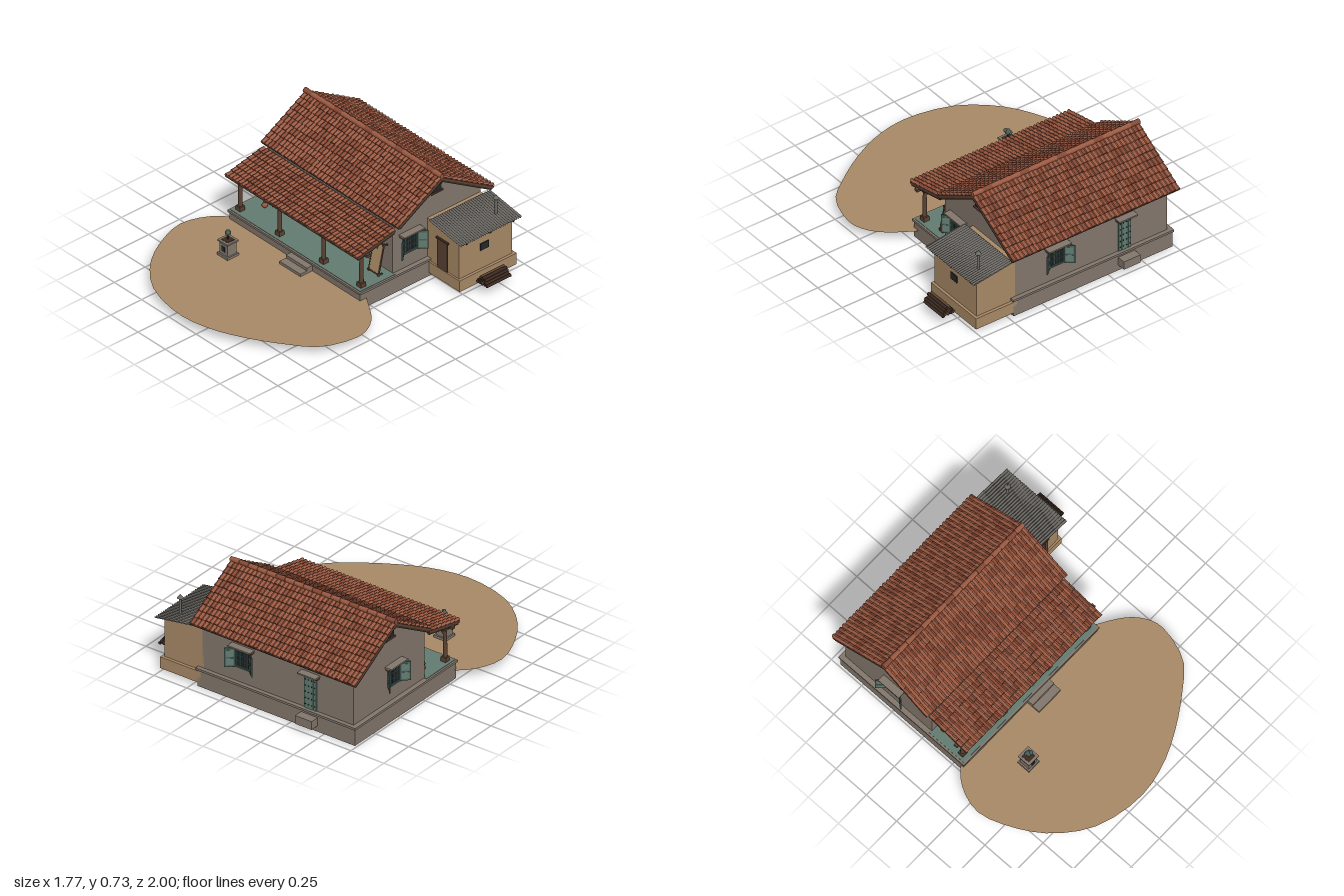
import * as THREE from 'three';

const mat = (name, color, extra = {}) => Object.assign(new THREE.MeshStandardMaterial({ color, ...extra }), { name });
const M = {
  tile: mat('clay tile', 0x9c5a42),
  tileDark: mat('dark clay tile', 0x874a36),
  plaster: mat('grey plaster', 0x83776c),
  ochre: mat('ochre mud', 0xa98a66, { side: THREE.DoubleSide }),
  wood: mat('brown wood', 0x5c4234),
  darkWood: mat('dark wood', 0x3c2a20),
  teal: mat('pale teal', 0x627c71),
  shutter: mat('deep teal', 0x48605a),
  iron: mat('iron', 0x25282a),
  metal: mat('zinc sheet', 0x6c6964, { side: THREE.DoubleSide }),
};

function add(parent, name, geo, material, x = 0, y = 0, z = 0) {
  const m = new THREE.Mesh(geo, material);
  m.name = name;
  m.position.set(x, y, z);
  parent.add(m);
  return m;
}
// Box given by its min and max on each axis
function box(parent, name, material, x0, x1, y0, y1, z0, z1) {
  return add(parent, name, new THREE.BoxGeometry(x1 - x0, y1 - y0, z1 - z0), material, (x0 + x1) / 2, (y0 + y1) / 2, (z0 + z1) / 2);
}
function group(parent, name, x = 0, y = 0, z = 0, ry = 0) {
  const g = new THREE.Group();
  g.name = name;
  g.position.set(x, y, z);
  g.rotation.y = ry;
  parent.add(g);
  return g;
}
const cyl = (r0, r1, h, n = 10) => new THREE.CylinderGeometry(r0, r1, h, n);
const poly = pts => new THREE.Shape(pts.map(p => new THREE.Vector2(...p)));
let seed = 7;
const rand = () => (seed = (seed * 16807) % 2147483647) / 2147483647;

// Overlapping barrel tiles; local z runs down the slope, y is off the surface
function tileGeometries(width, length, cols, rows) {
  const out = [[], []], w = width / cols, l = length / rows, n = 4, amp = 0.011, lift = 0.008;
  for (let r = 0; r < rows; r++) for (let c = 0; c < cols; c++) {
    const v = out[rand() < 0.68 ? 0 : 1], end = (r + 1) * l + (rand() - 0.5) * 0.006;
    for (let j = 0; j < n; j++) {
      const xa = -width / 2 + (c + j / n) * w, xb = xa + w / n;
      const ha = amp * Math.sin(Math.PI * j / n), hb = amp * Math.sin(Math.PI * (j + 1) / n);
      const A = [xa, ha, r * l], B = [xa, ha + lift, end], C = [xb, hb + lift, end], D = [xb, hb, r * l];
      const E = [xa, 0, end], F = [xb, 0, end];
      v.push(...A, ...B, ...C, ...A, ...C, ...D, ...B, ...E, ...F, ...B, ...F, ...C);
    }
  }
  return out.map(v => {
    const g = new THREE.BufferGeometry();
    g.setAttribute('position', new THREE.Float32BufferAttribute(v, 3));
    g.computeVertexNormals();
    return g;
  });
}
function tiledSlope(parent, name, x0, x1, zTop, yTop, zBot, yBot, rows) {
  const width = x1 - x0, dz = Math.abs(zBot - zTop), length = Math.hypot(dz, yTop - yBot);
  const g = group(parent, name, (x0 + x1) / 2, yTop, zTop, zBot > zTop ? 0 : Math.PI);
  g.rotation.order = 'YXZ';
  g.rotation.x = Math.atan2(yTop - yBot, dz);
  const [a, b] = tileGeometries(width, length, 42, rows);
  add(g, 'tiles', a, M.tile);
  add(g, 'darkTiles', b, M.tileDark);
  box(g, 'roofBoard', M.wood, -width / 2, width / 2, -0.014, 0.001, 0, length);
  for (let i = 0; i < 15; i++) {
    const x = -width / 2 + 0.01 + i * (width - 0.02) / 14;
    box(g, 'rafter', M.darkWood, x - 0.008, x + 0.008, -0.026, -0.014, 0.01, length - 0.008);
  }
}

// Barred window with open shutters, facing local +z, centred on its sill line
function windowUnit(parent, x, y, z, ry, awning) {
  const g = group(parent, 'window', x, y, z, ry), w = 0.052, h = 0.12;
  box(g, 'opening', M.iron, -w, w, 0, h, -0.002, 0.004);
  for (const s of [-1, 1]) {
    box(g, 'jamb', M.shutter, s * w - 0.005, s * w + 0.005, -0.005, h + 0.005, -0.002, 0.012);
    const hinge = group(g, 'shutter', s * (w + 0.004), 0, 0.008, -s * 0.75);
    box(hinge, 'shutterLeaf', M.shutter, s * 0.034 - 0.034, s * 0.034 + 0.034, -0.005, h + 0.008, -0.004, 0.004);
    for (const q of [0, 1]) box(hinge, 'shutterPanel', M.teal, s * 0.034 - 0.024, s * 0.034 + 0.024, 0.008 + q * 0.058, 0.055 + q * 0.058, -0.006, 0.006);
  }
  for (const q of [-0.005, h - 0.005]) box(g, 'rail', M.shutter, -w, w, q, q + 0.01, -0.002, 0.012);
  for (let i = -2; i <= 2; i++) box(g, 'bar', M.shutter, i * 0.018 - 0.0015, i * 0.018 + 0.0015, 0, h, 0.004, 0.008);
  for (const q of [0.04, 0.08]) box(g, 'crossBar', M.shutter, -w, w, q - 0.001, q + 0.001, 0.004, 0.008);
  if (awning) canopy(g, 0.08, h + 0.008);
}
function canopy(g, w, y) {
  box(g, 'lintel', M.wood, -w, w, y, y + 0.014, -0.005, 0.03);
  box(g, 'canopySlab', M.plaster, -w - 0.005, w + 0.005, y + 0.014, y + 0.024, -0.005, 0.05);
}
// Double plank door with studs, facing local +z
function door(parent, name, x, y, z, ry, w, h, material, studs) {
  const g = group(parent, name, x, y, z, ry);
  box(g, 'doorBacking', M.darkWood, -w / 2, w / 2, 0, h, -0.005, 0.003);
  const n = 4, p = w / n;
  for (let i = 0; i < n; i++) {
    const px = -w / 2 + i * p;
    box(g, 'doorPlank', material, px + 0.001, px + p - 0.001, 0, h, 0.002, 0.009);
    if (studs) for (let k = 0; k < 5; k++) box(g, 'stud', M.iron, px + p / 2 - 0.003, px + p / 2 + 0.003, h * (0.12 + k * 0.19) - 0.003, h * (0.12 + k * 0.19) + 0.003, 0.008, 0.013);
  }
  return g;
}

function house(root) {
  const g = group(root, 'house');
  box(g, 'plinth', M.plaster, -0.735, 0.465, 0, 0.115, -0.94, 0.08);
  box(g, 'plinthCap', M.plaster, -0.743, 0.473, 0.113, 0.128, -0.948, 0.088);
  box(g, 'verandahFloor', M.teal, -0.73, 0.46, 0.126, 0.131, -0.21, 0.075);
  const gable = poly([[-0.92, 0.12], [-0.205, 0.12], [-0.205, 0.468], [-0.56, 0.684], [-0.92, 0.464]]);
  add(g, 'walls', new THREE.ExtrudeGeometry(gable, { depth: 1.15, bevelEnabled: false }), M.plaster, 0.44).rotation.y = -Math.PI / 2;
  for (const [x, s] of [[0.44, 1], [-0.71, -1]]) {
    const v = group(g, 'gableVent', x, 0.575, -0.56, s * Math.PI / 2);
    box(v, 'ventOpening', M.iron, -0.04, 0.04, 0, 0.05, -0.002, 0.005);
    box(v, 'ventSill', M.wood, -0.048, 0.048, -0.008, 0.001, -0.002, 0.014);
  }
  windowUnit(g, -0.503, 0.236, -0.205, 0, false);
  windowUnit(g, 0.262, 0.236, -0.205, 0, false);
  windowUnit(g, 0.44, 0.236, -0.343, Math.PI / 2, true);
  windowUnit(g, -0.71, 0.236, -0.52, -Math.PI / 2, true);
  windowUnit(g, 0.13, 0.236, -0.92, Math.PI, true);
  door(g, 'frontDoor', -0.065, 0.13, -0.205, 0, 0.13, 0.25, M.teal, true);
  canopy(door(g, 'backDoor', -0.385, 0.13, -0.92, Math.PI, 0.095, 0.23, M.teal, true), 0.065, 0.23);
  box(g, 'wallPlate', M.iron, -0.205, -0.155, 0.28, 0.306, -0.206, -0.198);
  // Steps
  box(g, 'frontStep', M.plaster, -0.165, 0.028, 0.038, 0.085, 0.075, 0.178);
  box(g, 'frontUpperStep', M.plaster, -0.165, 0.028, 0.08, 0.106, 0.075, 0.125);
  box(g, 'backStep', M.plaster, -0.45, -0.325, 0.04, 0.098, -1, -0.935);
  // Roofs and ridge cap
  tiledSlope(g, 'frontRoof', -0.762, 0.495, -0.56, 0.698, -0.2, 0.487, 9);
  tiledSlope(g, 'backRoof', -0.762, 0.495, -0.56, 0.698, -0.98, 0.447, 10);
  tiledSlope(g, 'verandahRoof', -0.742, 0.472, -0.2, 0.463, 0.11, 0.394, 7);
  for (let i = 0; i < 18; i++) {
    const c = add(g, 'ridgeTile', cyl(0.019, 0.015, 0.0715, 10), i % 4 ? M.tile : M.tileDark, -0.727 + i * 0.0698, 0.709, -0.56);
    c.rotation.z = Math.PI / 2;
  }
  box(g, 'ridgeBeam', M.darkWood, -0.75, 0.485, 0.65, 0.672, -0.57, -0.55);
  // Verandah posts with bases, capitals and braces
  box(g, 'verandahBeam', M.wood, -0.755, 0.488, 0.376, 0.394, 0.016, 0.044);
  for (const x of [-0.69, -0.328, 0.075, 0.42]) {
    const p = group(g, 'post', x, 0, 0.03);
    box(p, 'postBase', M.wood, -0.02, 0.02, 0.13, 0.162, -0.02, 0.02);
    add(p, 'postShaft', cyl(0.012, 0.015, 0.2, 10), M.wood, 0, 0.26, 0);
    box(p, 'postCapital', M.wood, -0.018, 0.018, 0.35, 0.378, -0.018, 0.018);
    for (const s of [-1, 1]) {
      if (x === -0.69 && s < 0 || x === 0.42 && s > 0) continue;
      const b = add(p, 'brace', new THREE.BoxGeometry(0.012, 0.09, 0.014), M.wood, s * 0.032, 0.346, 0);
      b.rotation.z = -s * 0.75;
    }
  }
}

function annex(root) {
  const g = group(root, 'annex');
  box(g, 'annexBase', M.ochre, 0.44, 0.748, 0.025, 0.105, -0.94, -0.478);
  const side = poly([[0.43, 0.1], [0.73, 0.1], [0.73, 0.37], [0.43, 0.41]]);
  add(g, 'annexWalls', new THREE.ExtrudeGeometry(side, { depth: 0.43, bevelEnabled: false }), M.ochre, 0, 0, -0.92);
  const d = door(g, 'annexDoor', 0.583, 0.105, -0.49, 0, 0.092, 0.21, M.wood, false);
  box(d, 'annexLintel', M.darkWood, -0.055, 0.055, 0.207, 0.217, -0.005, 0.014);
  box(g, 'annexWindow', M.iron, 0.725, 0.736, 0.24, 0.29, -0.725, -0.66);
  // Corrugated sheet, ribs running down the slope
  const sheet = new THREE.PlaneGeometry(0.3, 0.5, 1, 112).rotateX(-Math.PI / 2);
  const p = sheet.attributes.position;
  for (let i = 0; i < p.count; i++) p.setY(i, 0.006 * Math.sin(Math.round((p.getZ(i) + 0.25) / 0.5 * 112) * Math.PI / 2));
  sheet.computeVertexNormals();
  add(g, 'sheetRoof', sheet, M.metal, 0.63, 0.402, -0.71).rotation.z = -0.155;
  for (const z of [-0.9, -0.71, -0.52]) add(g, 'sheetPurlin', new THREE.BoxGeometry(0.28, 0.012, 0.014), M.darkWood, 0.63, 0.389, z).rotation.z = -0.155;
  add(g, 'fluePipe', cyl(0.009, 0.009, 0.14, 12), M.metal, 0.664, 0.44, -0.848);
  add(g, 'flueCap', new THREE.ConeGeometry(0.021, 0.026, 12), M.metal, 0.664, 0.52, -0.848);
  // Firewood stack
  for (let row = 0; row < 4; row++) for (let i = 0; i < 5 - row; i++) {
    const log = add(g, 'log', cyl(0.0105, 0.0105, 0.185 + rand() * 0.015, 7), (i + row) % 3 ? M.darkWood : M.wood,
      0.792 + i * 0.0205 + row * 0.01025, 0.081 + row * 0.0145, -0.678 + (rand() - 0.5) * 0.014);
    log.rotation.x = Math.PI / 2;
  }
}

function yard(root) {
  // Swept earth, drawn in x and -z
  const outline = [[.75, .36], [.68, .59], [.52, .73], [.3, .87], [.08, .965], [-.16, 1], [-.47, .93], [-.69, .76], [-.82, .56],
    [-.89, .34], [-.84, .17], [-.74, .06], [-.5, -.05], [0, -.1], [.3, -.05], [.5, .05], [.66, .16], [.73, .26]];
  const curve = new THREE.CatmullRomCurve3(outline.map(([x, z]) => new THREE.Vector3(x, -z, 0)), true);
  const earth = new THREE.ShapeGeometry(poly(curve.getPoints(48).slice(0, -1).map(v => [v.x, v.y])));
  add(root, 'yardGround', earth, M.ochre, 0, 0.066, 0).rotation.x = -Math.PI / 2;
  // Planted pedestal
  const t = group(root, 'planter', -0.444, 0, 0.348);
  box(t, 'planterFoot', M.plaster, -0.047, 0.047, 0.06, 0.083, -0.047, 0.047);
  box(t, 'planterBody', M.plaster, -0.037, 0.037, 0.08, 0.168, -0.037, 0.037);
  box(t, 'planterRim', M.plaster, -0.045, 0.045, 0.166, 0.178, -0.045, 0.045);
  box(t, 'soil', M.darkWood, -0.03, 0.03, 0.176, 0.18, -0.03, 0.03);
  box(t, 'niche', M.iron, -0.014, 0.014, 0.108, 0.142, 0.034, 0.041);
  add(t, 'stem', cyl(0.004, 0.005, 0.05, 6), M.darkWood, 0, 0.2, 0);
  for (const [x, y, z, r] of [[0, 0.228, 0, 0.02], [0.01, 0.236, 0.01, 0.014], [-0.009, 0.223, -0.008, 0.015]])
    add(t, 'foliage', new THREE.IcosahedronGeometry(r, 1), M.shutter, x, y, z);
}

function verandahThings(root) {
  const profile = [[0, 0], [0.55, 0.05], [1, 0.75], [0.85, 1.3], [0.45, 1.65], [0.42, 1.8], [0.6, 1.95], [0.45, 1.95], [0, 1.75]];
  for (const [x, z, r] of [[-0.647, -0.155, 0.029], [-0.613, -0.1, 0.02], [-0.583, -0.15, 0.024]])
    add(root, 'waterPot', new THREE.LatheGeometry(profile.map(([a, b]) => new THREE.Vector2(a * r, b * r)), 18), M.tile, x, 0.13, z);
  // Woven cot leaning on the wall
  const c = group(root, 'leaningCot', 0.367, 0.133, -0.115);
  c.rotation.x = -0.22;
  box(c, 'cotWeave', M.ochre, -0.042, 0.042, 0.012, 0.21, -0.003, 0.003);
  for (const s of [-1, 1]) {
    box(c, 'cotRail', M.wood, s * 0.044 - 0.004, s * 0.044 + 0.004, 0, 0.222, -0.005, 0.005);
    box(c, 'cotEnd', M.wood, -0.044, 0.044, 0.111 + s * 0.1 - 0.004, 0.111 + s * 0.1 + 0.004, -0.005, 0.005);
    for (const y of [0.012, 0.21]) box(c, 'cotLeg', M.wood, s * 0.044 - 0.005, s * 0.044 + 0.005, y - 0.005, y + 0.005, -0.03, 0.01);
  }
}

export function createModel() {
  const root = new THREE.Group();
  root.name = 'farmhouse';
  house(root);
  annex(root);
  yard(root);
  verandahThings(root);
  return root;
}
